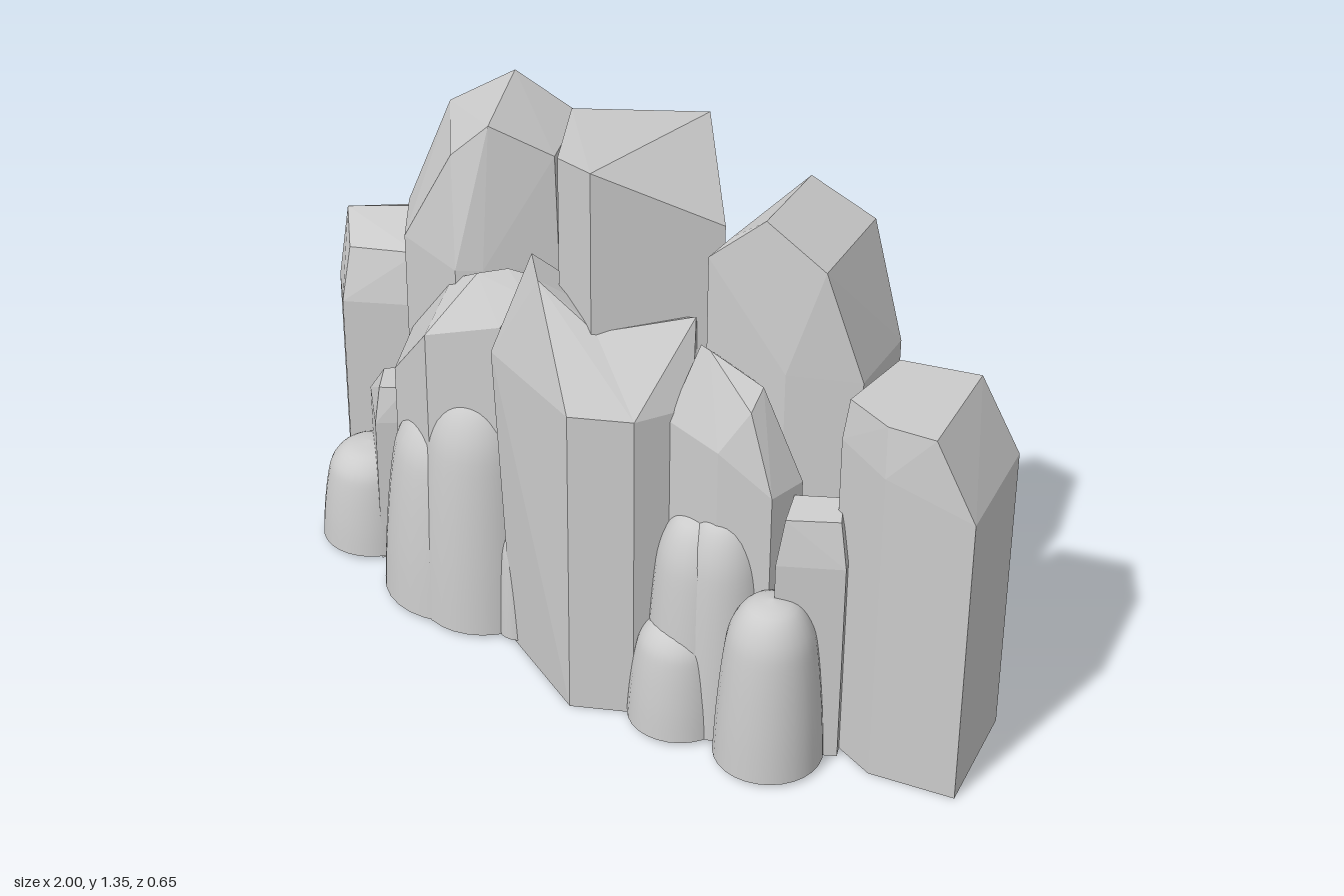
import * as THREE from 'three';
import { ConvexGeometry } from 'three/addons/geometries/ConvexGeometry.js';

const flat = new THREE.MeshStandardMaterial({ color: 0xcccccc, flatShading: true, side: THREE.DoubleSide });
const smooth = new THREE.MeshStandardMaterial({ color: 0xcccccc, side: THREE.DoubleSide });

// Faceted column, open below: footprint corners [x, z, own shoulder height?], then crown points [x, y, z].
function rock(name, foot, shoulder, crown) {
  const points = crown.map((p) => new THREE.Vector3(...p));
  for (const [x, z, y = shoulder] of foot) {
    points.push(new THREE.Vector3(x, 0, z), new THREE.Vector3(x, y, z));
  }
  const hull = new ConvexGeometry(points).getAttribute('position');
  const kept = [];
  for (let i = 0; i < hull.count; i += 3) {
    const corners = [0, 1, 2].map((k) => new THREE.Vector3().fromBufferAttribute(hull, i + k));
    if (corners.some((c) => c.y > 0.001)) kept.push(...corners);
  }
  const geometry = new THREE.BufferGeometry().setFromPoints(kept);
  geometry.computeVertexNormals();
  const mesh = new THREE.Mesh(geometry, flat);
  mesh.name = name;
  return mesh;
}

// Bullet-shaped smooth boulder standing at x, z.
function boulder(name, x, z, radius, height) {
  const profile = new THREE.SplineCurve(
    [[1, 0], [0.95, 0.3], [0.85, 0.64], [0.73, 0.83], [0.45, 0.96], [0, 1]]
      .map(([r, y]) => new THREE.Vector2(r * radius, y * (height - 0.01)))
  );
  const points = profile.getPoints(20);
  points[points.length - 1].x = 0;
  const mesh = new THREE.Mesh(new THREE.LatheGeometry(points, 28), smooth);
  mesh.name = name;
  mesh.position.set(x, 0.01, z);
  return mesh;
}

export function createModel() {
  const group = new THREE.Group();
  group.name = 'rockFormation';

  // Tall columns at the back
  group.add(
    rock('centerColumn',
      [[-0.2, -0.08, 1.295], [-0.03, 0.17, 1.325], [0.095, 0.21, 1.345], [0.3, 0, 1.2], [0.07, -0.24, 1.31]],
      1.2, []),
    rock('rightTallColumn',
      [[-0.69, -0.05], [-0.5, -0.26], [-0.32, -0.28], [-0.2, -0.03], [-0.32, 0.1], [-0.37, 0.14], [-0.575, 0.09]],
      0.91,
      [[-0.465, 1.27, -0.19], [-0.32, 1.27, 0.07], [-0.6, 1.18, -0.11], [-0.41, 1.18, 0.1],
        [-0.32, 1.18, -0.25], [-0.21, 1.19, -0.03]]),
    rock('leftTallColumn',
      [[0.3, 0.06, 1.15], [0.33, -0.2, 1.18], [0.48, -0.285], [0.61, -0.24], [0.65, -0.04], [0.5, 0.04]],
      0.92,
      [[0.34, 1.2, 0.03], [0.38, 1.27, -0.2], [0.43, 1.27, 0.03], [0.57, 1.18, 0], [0.51, 1.18, -0.265]]),
    rock('backColumn',
      [[-0.2, -0.12], [-0.13, -0.25], [0.05, -0.26], [0.2, -0.25], [0.28, -0.22], [0.3, -0.04]],
      0.77,
      [[-0.14, 0.95, -0.1], [0.02, 0.95, -0.2], [0.2, 0.95, -0.17], [0.25, 0.98, -0.04]])
  );

  // End columns
  group.add(
    rock('rightEndColumn',
      [[-1, -0.13], [-0.95, -0.24], [-0.78, -0.325], [-0.61, -0.14], [-0.67, -0.03], [-0.82, 0.065], [-0.92, -0.03]],
      0.63,
      [[-0.975, 0.73, -0.13], [-0.9, 0.82, -0.05], [-0.72, 0.82, -0.2], [-0.79, 0.77, -0.28],
        [-0.68, 0.76, -0.06], [-0.83, 0.76, 0.02]]),
    rock('leftEndColumn',
      [[1, 0.035], [0.92, -0.26], [0.62, -0.18], [0.655, 0.04, 0.82], [0.8, 0.085, 0.8]],
      0.74,
      [[0.655, 0.92, -0.17], [0.83, 0.92, -0.23], [0.9, 0.92, 0.05], [0.665, 0.92, 0.03], [0.79, 0.92, 0.07]])
  );

  // Front column: two crowns sharing one footprint leave a saddle between them
  const frontFoot = [[-0.155, 0.21], [0.12, 0.325], [0.25, 0.25], [0.31, 0.12], [0.2, -0.05], [-0.19, 0.05]];
  group.add(
    rock('frontColumnHighSide', frontFoot, 0.8,
      [[-0.18, 0.81, 0.235], [-0.19, 0.88, 0.1], [-0.135, 1.04, 0.14], [-0.04, 1.045, 0.23], [0.1, 0.95, 0.2]]),
    rock('frontColumnLowSide', frontFoot, 0.8, [[0.1, 0.95, 0.2], [0.27, 0.99, 0.06]])
  );

  // Middle-height columns in front
  group.add(
    rock('rightMiddleColumn',
      [[-0.56, 0.08, 0.68], [-0.54, 0.18, 0.6], [-0.38, 0.24, 0.78], [-0.2, 0.18, 0.84], [-0.18, 0.02, 0.9], [-0.4, 0, 0.8]],
      0.7,
      [[-0.4, 0.87, 0.12], [-0.3, 0.93, 0.14], [-0.26, 0.93, 0.08], [-0.19, 0.89, 0.1]]),
    rock('leftMiddleColumn',
      [[0.28, 0.17, 0.78], [0.42, 0.17, 0.75], [0.54, 0.13], [0.55, 0.03], [0.3, -0.02, 0.85]],
      0.66,
      [[0.3, 0.94, 0.08], [0.34, 0.95, 0.1], [0.465, 0.89, 0.07], [0.47, 0.85, 0.12]])
  );

  // Small side and rear blocks
  group.add(
    rock('leftSmallBlock',
      [[0.53, 0.07], [0.58, 0.165], [0.71, 0.08], [0.66, -0.02]],
      0.52, [[0.55, 0.64, 0.06], [0.585, 0.63, 0.14], [0.685, 0.63, 0.07], [0.64, 0.64, 0]]),
    rock('rightSmallBlock',
      [[-0.755, 0.05], [-0.63, 0.165], [-0.57, 0.11], [-0.7, -0.02]],
      0.4, [[-0.685, 0.49, 0.07], [-0.635, 0.49, 0.14], [-0.58, 0.49, 0.1], [-0.65, 0.49, 0.02]]),
    rock('rearSliver',
      [[-0.26, -0.17], [-0.25, -0.23], [-0.18, -0.23], [-0.17, -0.15]],
      0.8, [[-0.24, 0.87, -0.19], [-0.2, 0.87, -0.19]]),
    rock('rearSmallBlock',
      [[-0.29, -0.21], [-0.22, -0.3], [-0.15, -0.295], [-0.11, -0.21], [-0.2, -0.14]],
      0.56, [[-0.25, 0.66, -0.23], [-0.16, 0.66, -0.24], [-0.2, 0.66, -0.18]])
  );

  // Rounded boulders around the foot
  [
    [-0.725, 0.09, 0.13, 0.275], [-0.31, 0.135, 0.16, 0.635], [-0.41, 0.11, 0.19, 0.54],
    [0.35, 0.13, 0.13, 0.56], [0.41, 0.12, 0.12, 0.58], [0.335, 0.185, 0.122, 0.285],
    [0.58, 0.17, 0.127, 0.435], [-0.16, 0.18, 0.05, 0.3], [0.3, -0.15, 0.1, 0.5],
  ].forEach((b, i) => group.add(boulder(`boulder${i + 1}`, ...b)));

  return group;
}
